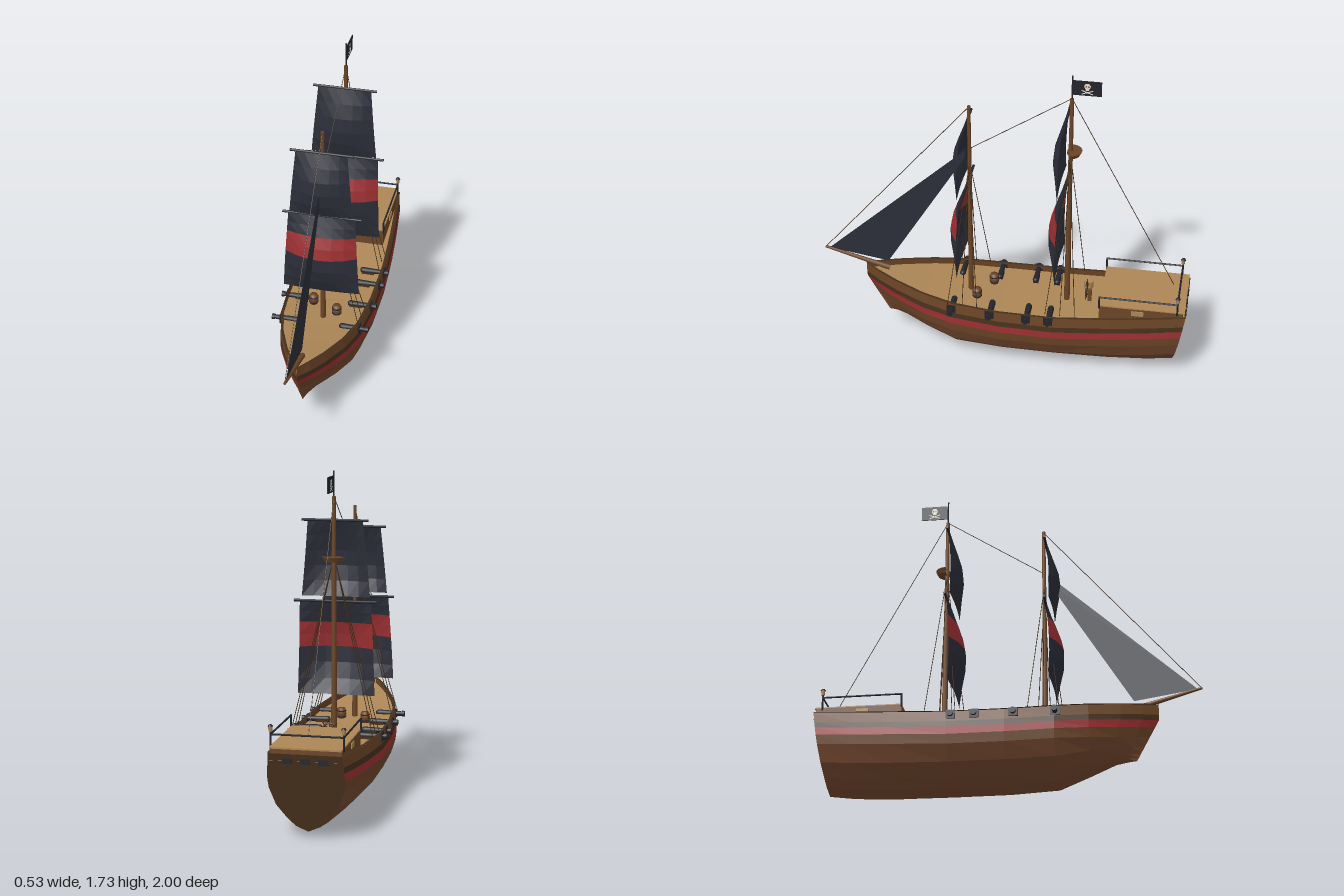
import * as THREE from 'three';

const mat = (name, color) => new THREE.MeshStandardMaterial({ name, color, side: THREE.DoubleSide });

export function createModel() {
  const M = {
    hull: mat('hullBrown', 0x75492f), wood: mat('mastWood', 0x6b4526), dark: mat('darkTrim', 0x46301c),
    red: mat('red', 0x9b2f32), deck: mat('deckTan', 0xac8656), sail: mat('sailNavy', 0x2c2e39),
    iron: mat('ironBlack', 0x23252c), rope: mat('ropeBrown', 0x3d2c1a), bone: mat('bone', 0xe6e0d2),
  };
  const model = new THREE.Group();
  model.name = 'sailingShip';
  const add = (name, geo, m, x = 0, y = 0, z = 0, parent = model) => {
    const mesh = new THREE.Mesh(geo, m);
    mesh.name = name;
    mesh.position.set(x, y, z);
    parent.add(mesh);
    return mesh;
  };
  const box = (name, w, h, d, m, x, y, z, parent) => add(name, new THREE.BoxGeometry(w, h, d), m, x, y, z, parent);
  const cyl = (name, r0, r1, h, m, x, y, z, parent, n = 10) =>
    add(name, new THREE.CylinderGeometry(r0, r1, h, n), m, x, y, z, parent);
  // Thin round bar between two points
  const rod = (name, a, b, r0, m, r1 = r0, n = 6) => {
    const A = new THREE.Vector3(...a), B = new THREE.Vector3(...b), d = B.clone().sub(A);
    const mesh = cyl(name, r1, r0, d.length(), m, 0, 0, 0, model, n);
    mesh.position.copy(A).add(B).multiplyScalar(0.5);
    mesh.quaternion.setFromUnitVectors(new THREE.Vector3(0, 1, 0), d.normalize());
    return mesh;
  };
  // Faceted skin through rows of points
  const loft = (rows) => {
    const p = [];
    for (let i = 0; i + 1 < rows.length; i++) for (let j = 0; j + 1 < rows[i].length; j++) {
      const a = rows[i][j], b = rows[i][j + 1], c = rows[i + 1][j + 1], d = rows[i + 1][j];
      p.push(...a, ...b, ...c, ...a, ...c, ...d);
    }
    const g = new THREE.BufferGeometry();
    g.setAttribute('position', new THREE.Float32BufferAttribute(p, 3));
    g.computeVertexNormals();
    return g;
  };
  const clamp = THREE.MathUtils.clamp;

  // Hull stations: z, sheer height, keel height, half width
  const stations = [
    [-1, 0.428, 0.03, 0.192], [-0.8, 0.41, 0.012, 0.212], [-0.6, 0.395, 0, 0.23], [-0.3, 0.376, 0, 0.246],
    [0, 0.376, 0, 0.243], [0.25, 0.388, 0.01, 0.222], [0.42, 0.404, 0.08, 0.178], [0.58, 0.423, 0.133, 0.112],
    [0.69, 0.438, 0.145, 0.055], [0.77, 0.452, 0.15, 0.001],
  ];
  const profile = [[0, 0], [0.05, 0.27], [0.13, 0.46], [0.3, 0.77], [0.5, 0.96], [0.7, 1], [1, 0.95]];
  const fullness = (h) => {
    for (let i = 1; i < profile.length; i++) if (h <= profile[i][0] + 1e-6) {
      const [a, u] = profile[i - 1], [b, v] = profile[i];
      return u + (v - u) * (h - a) / (b - a);
    }
    return 0.95;
  };
  const section = ([z, s, k, w]) => {
    const low = s - 0.175;
    const ys = [s, s - 0.055, s - 0.085, s - 0.125, low];
    [0.6, 0.3, 0.12, 0].forEach((t) => ys.push(k + (low - k) * t));
    return ys.map((y) => {
      const bow = z > 0.5 ? 0.12 * (z - 0.5) / 0.27 * clamp((0.37 - y) / 0.22, 0, 1) : 0;
      const stern = z === -1 ? 0.065 * clamp(1 - (y - 0.03) / 0.39, 0, 1) : 0;
      return [w * fullness((y - k) / (s - k)), y, z - bow + stern];
    });
  };
  const sections = stations.map(section);
  const flip = ([x, y, z]) => [-x, y, z];
  const bands = [['bulwark', 0, 1, M.wood], ['upperWale', 1, 2, M.dark], ['redStripe', 2, 3, M.red],
    ['lowerWale', 3, 4, M.wood], ['lowerHull', 4, 8, M.hull]];
  for (const [name, a, b, m] of bands) {
    const rows = sections.map((s) => s.slice(a, b + 1));
    add(name + 'Left', loft(rows), m);
    add(name + 'Right', loft(rows.map((r) => r.map(flip))), m);
  }
  add('transom', loft([sections[0], sections[0].map(flip)]), M.dark);
  add('mainDeck', loft(sections.map((s) => {
    const [x, y, z] = s[0];
    return [[x - 0.001, y - 0.035, z], [0.001 - x, y - 0.035, z]];
  })), M.deck);
  for (const sx of [1, -1]) {
    add('railCap', loft(sections.map(([[x, y, z]]) =>
      [[sx * (x + 0.004), y + 0.003, z], [sx * Math.max(x - 0.011, 0), y + 0.003, z]])), M.dark);
  }

  // Raised stern deck with windows
  box('sternCabin', 0.356, 0.115, 0.445, M.wood, 0, 0.394, -0.7625);
  box('sternDeck', 0.356, 0.008, 0.455, M.deck, 0, 0.453, -0.7675);
  for (const x of [-0.09, 0, 0.09]) box('sternWindow', 0.05, 0.028, 0.008, M.iron, x, 0.392, -0.997);
  for (const sx of [1, -1]) {
    box('cabinWindow', 0.008, 0.028, 0.065, M.deck, sx * 0.179, 0.425, -0.745);
    // Railings and stern lanterns
    const x = sx * 0.18;
    rod('sideRail', [x, 0.51, -0.54], [x, 0.51, -0.955], 0.005, M.iron);
    for (const z of [-0.54, -0.955]) rod('railPost', [x, 0.44, z], [x, 0.512, z], 0.005, M.iron);
    cyl('lanternPost', 0.005, 0.005, 0.03, M.iron, x, 0.515, -0.955);
    cyl('lanternGlass', 0.011, 0.009, 0.025, M.deck, x, 0.536, -0.955);
    cyl('lanternCap', 0.008, 0.014, 0.009, M.iron, x, 0.553, -0.955);
  }
  rod('sternRail', [-0.18, 0.51, -0.955], [0.18, 0.51, -0.955], 0.005, M.iron);

  // Masts and bowsprit
  const foreZ = 0.185, mainZ = -0.345;
  rod('foreMast', [0, 0.34, foreZ], [0, 1.505, foreZ], 0.015, M.wood, 0.009, 10);
  rod('mainMast', [0, 0.34, mainZ], [0, 1.6, mainZ], 0.016, M.wood, 0.01, 10);
  rod('flagPole', [0, 1.58, mainZ], [0, 1.73, mainZ], 0.004, M.iron);
  rod('bowsprit', [0, 0.435, 0.64], [0, 0.535, 0.998], 0.015, M.wood, 0.007, 10);

  // Crow's nest: half basin behind the main mast
  add('lookoutPlatform', new THREE.CylinderGeometry(0.06, 0.048, 0.025, 14, 1, false, Math.PI / 2, Math.PI),
    M.wood, 0, 1.283, mainZ);
  cyl('lookoutCollar', 0.018, 0.018, 0.025, M.wood, 0, 1.283, mainZ);

  // Square sails, bellied forward, with yards
  const sail = (name, z, top, bottom, wTop, wBottom, belly, yard, striped) => {
    const row = (v) => Array.from({ length: 7 }, (_, i) => {
      const u = i / 3 - 1;
      return [u * (wTop + (wBottom - wTop) * v), top + (bottom - top) * v,
        z + 0.012 * v + belly * (1 - 0.85 * u * u) * Math.sin(Math.PI * 0.95 * v ** 1.1)];
    });
    const parts = striped
      ? [[[0, 0.115, 0.23], M.sail], [[0.23, 0.365, 0.5], M.red], [[0.5, 0.67, 0.84, 1], M.sail]]
      : [[[0, 0.2, 0.4, 0.6, 0.8, 1], M.sail]];
    for (const [vs, m] of parts) add(name, loft(vs.map(row)), m);
    rod(name + 'Yard', [-yard, top + 0.003, z - 0.006], [yard, top + 0.003, z - 0.006], 0.007, M.iron, 0.007, 8);
  };
  sail('foreTopsail', foreZ + 0.025, 1.387, 1.03, 0.135, 0.168, 0.055, 0.165, false);
  sail('foreCourse', foreZ + 0.025, 1.01, 0.56, 0.178, 0.205, 0.072, 0.21, true);
  sail('mainTopsail', mainZ + 0.03, 1.475, 1.085, 0.143, 0.178, 0.052, 0.172, false);
  sail('mainCourse', mainZ + 0.03, 1.06, 0.573, 0.186, 0.202, 0.07, 0.215, true);
  // Jib
  add('jib', loft([[[0, 0.53, 0.975], [0, 0.48, 0.645]], [[0, 1.24, 0.205], [0, 1.2, 0.205]]]), M.sail);

  // Stays and shrouds
  rod('foreStay', [0, 0.533, 0.997], [0, 1.5, foreZ], 0.002, M.rope, 0.002, 5);
  rod('mainStay', [0, 1.25, foreZ], [0, 1.6, mainZ], 0.002, M.rope, 0.002, 5);
  rod('backStay', [0, 1.6, mainZ], [0, 0.51, -0.92], 0.002, M.rope, 0.002, 5);
  for (const [z, y] of [[foreZ, 1.15], [mainZ, 1.25]]) for (const sx of [1, -1]) for (const dz of [0.09, 0.01, -0.07]) {
    rod('shroud', [sx * 0.215, 0.385, z + dz], [sx * 0.012, y, z], 0.002, M.rope, 0.002, 5);
  }

  // Flag with painted skull and crossed bones on both faces
  box('flag', 0.004, 0.082, 0.145, M.iron, 0, 1.665, mainZ - 0.076);
  for (const sx of [1, -1]) {
    const g = new THREE.Group();
    g.name = 'flagEmblem';
    g.position.set(sx * 0.003, 1.665, mainZ - 0.076);
    g.rotation.y = sx * Math.PI / 2;
    model.add(g);
    add('skull', new THREE.CircleGeometry(0.017, 14), M.bone, 0, 0.012, 0.0003, g);
    box('jaw', 0.018, 0.012, 0.001, M.bone, 0, -0.005, 0, g);
    for (const s of [1, -1]) {
      add('eye', new THREE.CircleGeometry(0.0045, 8), M.red, s * 0.007, 0.011, 0.001, g);
      box('crossedBone', 0.062, 0.005, 0.001, M.bone, 0, -0.022, 0, g).rotation.z = s * 0.35;
    }
  }

  // Cannons through gun ports
  for (const [z, hw] of [[0.255, 0.211], [0.045, 0.23], [-0.155, 0.235], [-0.275, 0.235]]) for (const sx of [1, -1]) {
    const g = new THREE.Group();
    g.name = 'cannon';
    g.position.set(0, 0.358, z);
    g.scale.x = sx;
    g.rotation.y = 0;
    model.add(g);
    cyl('barrel', 0.012, 0.017, 0.14, M.iron, 0.19, 0, 0, g).rotation.z = -Math.PI / 2;
    cyl('muzzle', 0.016, 0.016, 0.014, M.iron, 0.257, 0, 0, g).rotation.z = -Math.PI / 2;
    add('breech', new THREE.SphereGeometry(0.016, 10, 8), M.iron, 0.12, 0, 0, g);
    box('carriage', 0.07, 0.02, 0.03, M.dark, 0.15, -0.012, 0, g);
    box('gunPort', 0.008, 0.045, 0.048, M.iron, hw + 0.004, 0, 0, g);
  }

  // Deck barrels and rope crate
  const cask = [[0, 0], [0.021, 0], [0.027, 0.03], [0.021, 0.06], [0, 0.06]].map(([x, y]) => new THREE.Vector2(x, y));
  for (const [x, z] of [[-0.08, 0.07], [0.065, 0.14]]) {
    add('cask', new THREE.LatheGeometry(cask, 12), M.wood, x, 0.342, z);
    for (const y of [0.357, 0.387]) cyl('caskHoop', 0.0265, 0.0265, 0.005, M.iron, x, y, z, model, 12);
  }
  cyl('ropeDrum', 0.027, 0.027, 0.045, M.deck, -0.12, 0.37, -0.45, model, 12);

  // Steering wheel on a pedestal
  box('wheelPedestal', 0.022, 0.08, 0.02, M.wood, 0, 0.38, -0.47);
  add('wheelRim', new THREE.TorusGeometry(0.036, 0.005, 6, 18), M.dark, 0, 0.42, -0.452);
  for (let i = 0; i < 4; i++) cyl('wheelSpoke', 0.003, 0.003, 0.11, M.dark, 0, 0.42, -0.452, model, 6).rotation.z = i * Math.PI / 4;

  return model;
}
